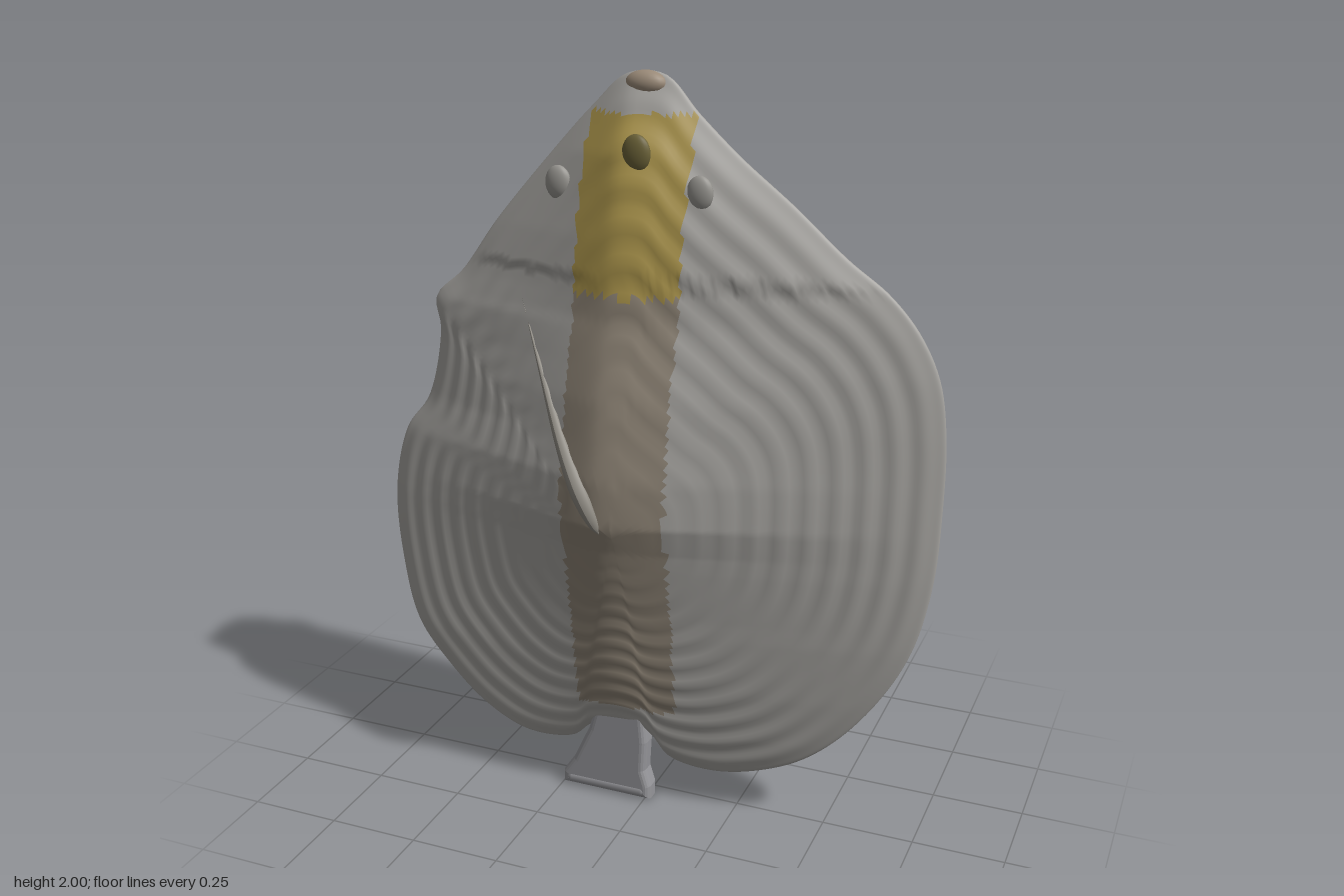
import * as THREE from 'three';

// Outline halves, top to bottom, as [x, y]
const LEFT = [[-0.09, 1.99], [-0.18, 1.91], [-0.29, 1.79], [-0.45, 1.6], [-0.55, 1.46], [-0.63, 1.38], [-0.62, 1.29],
  [-0.66, 1.1], [-0.73, 1.0], [-0.77, 0.82], [-0.755, 0.6], [-0.71, 0.42], [-0.62, 0.3], [-0.5, 0.19], [-0.37, 0.13]];
const RIGHT = [[0.01, 1.99], [0.1, 1.9], [0.21, 1.8], [0.35, 1.69], [0.49, 1.57], [0.6, 1.49], [0.68, 1.4],
  [0.735, 1.29], [0.76, 1.15], [0.765, 0.95], [0.755, 0.75], [0.71, 0.55], [0.62, 0.38], [0.5, 0.24], [0.38, 0.16]];
const NOTCH = [[-0.23, 0.14], [-0.17, 0.19], [-0.07, 0.21], [0.01, 0.19], [0.06, 0.13], [0.2, 0.11]];

// Ridge depth at the midline, as [z, y]
const FRONT = [[-0.01, 2], [0.03, 1.9], [0.07, 1.8], [0.105, 1.6], [0.13, 1.4], [0.19, 1.2], [0.23, 1],
  [0.235, 0.88], [0.21, 0.8], [0.17, 0.6], [0.14, 0.4], [0.1, 0.2], [0.08, 0.1]];
const BACK = [[-0.07, 2], [-0.1, 1.9], [-0.125, 1.8], [-0.15, 1.6], [-0.17, 1.4], [-0.2, 1.2], [-0.205, 1],
  [-0.2, 0.85], [-0.14, 0.6], [-0.07, 0.4], [-0.02, 0.2], [0, 0.1]];

const CX = -0.03, CY = 0.85, RIDGE_X = -0.07, RIM = 0.03;

// Look up a value at height y in a table sorted from top to bottom
function at(table, y) {
  if (y >= table[0][1]) return table[0][0];
  for (let i = 1; i < table.length; i++) {
    const [v0, y0] = table[i - 1], [v1, y1] = table[i];
    if (y >= y1) return v0 + (v1 - v0) * (y0 - y) / (y0 - y1);
  }
  return table[table.length - 1][0];
}

// Depth of the skin; s runs from 0 at the centre to 1 on the rim
function skinZ(x, y, s, side) {
  const mid = 0.04 - 0.045 * y - 0.04 * x;
  const edge = at(x < RIDGE_X ? LEFT : RIGHT, y);
  const u0 = Math.min(1, Math.abs((x - RIDGE_X) / (edge - RIDGE_X)));
  const u = (Math.sqrt(u0 * u0 + 0.005) - 0.07) / 0.933;
  const ridge = Math.abs(at(side > 0 ? FRONT : BACK, y) - (0.04 - 0.045 * y + 0.003));
  const p = y > 1.5 ? 0.9 : side > 0 || x < RIDGE_X ? 1.2 : 1;
  const swell = RIM + Math.max(0, ridge - RIM) * Math.pow(Math.max(0, 1 - u), p);
  const ripple = 0.003 * Math.sin(s * 75) * Math.min(1, s * 2);
  return mid + side * (swell + ripple) * Math.sqrt(Math.max(0, 1 - Math.pow(s, 10)));
}

// Closed skin: rings shrink from the rim to the centre on both sides, sorted into colour areas
function buildBody(group) {
  const pts = [...LEFT, ...NOTCH, ...[...RIGHT].reverse()].map(([x, y]) => new THREE.Vector3(x, y, 0));
  const outline = new THREE.CatmullRomCurve3(pts, true).getSpacedPoints(260).slice(0, 260);
  const N = outline.length, M = 60, pos = [];
  for (let j = 0; j <= 2 * M; j++) {
    const s = j === M ? 1 : Math.sin(Math.PI * j / (2 * M));
    for (const o of outline) {
      const x = CX + s * (o.x - CX), y = CY + s * (o.y - CY);
      pos.push(x, y, skinZ(x, y, s, j <= M ? 1 : -1));
    }
  }
  const areas = { finDisc: [], spineBand: [], headPatch: [] };
  for (let j = 0; j < 2 * M; j++) {
    for (let i = 0; i < N; i++) {
      const a = j * N + i, b = a + N, d = j * N + (i + 1) % N, c = d + N;
      const x = (pos[3 * a] + pos[3 * c]) / 2, y = (pos[3 * a + 1] + pos[3 * c + 1]) / 2;
      const inBand = x > -0.18 && x < 0.1;
      const area = inBand && y > 1.46 && y < 1.9 ? 'headPatch'
        : inBand && y > 0.3 && y <= 1.46 ? 'spineBand' : 'finDisc';
      areas[area].push(a, b, c, a, c, d);
    }
  }
  const whole = new THREE.BufferGeometry();
  whole.setAttribute('position', new THREE.Float32BufferAttribute(pos, 3));
  whole.setIndex(Object.values(areas).flat());
  whole.computeVertexNormals();
  const colors = { finDisc: 0xa3a19d, spineBand: 0x8c8274, headPatch: 0xa8924a };
  for (const name in areas) {
    const geo = new THREE.BufferGeometry();
    geo.setAttribute('position', whole.getAttribute('position'));
    geo.setAttribute('normal', whole.getAttribute('normal'));
    geo.setIndex(areas[name]);
    addMesh(group, name, geo, colors[name]);
  }
}

function addMesh(group, name, geo, color) {
  const mesh = new THREE.Mesh(geo, new THREE.MeshStandardMaterial({ color }));
  mesh.name = name;
  group.add(mesh);
  return mesh;
}

// Folded side fin: a tube lying on the skin that thickens towards its tip
function addSideFin(group, name, side) {
  const path = (side > 0 ? [[-0.34, 1.42], [-0.26, 1.24], [-0.17, 1.06], [-0.1, 0.94], [-0.06, 0.86]]
    : [[-0.26, 1.12], [-0.2, 1.04], [-0.14, 0.97], [-0.1, 0.92], [-0.09, 0.85]])
    .map(([x, y]) => new THREE.Vector3(x, y, skinZ(x, y, 0.5, side)));
  const curve = new THREE.CatmullRomCurve3(path), rows = 28, sides = 12;
  const geo = new THREE.TubeGeometry(curve, rows, 1, sides);
  const p = geo.getAttribute('position'), v = new THREE.Vector3();
  for (let i = 0; i <= rows; i++) {
    const t = i / rows, c = curve.getPointAt(t);
    const r = (side > 0 ? 0.033 : 0.06) * Math.pow(t, 1.3) * Math.sqrt(Math.min(1, (1 - t) * 5));
    for (let k = 0; k <= sides; k++) {
      const n = i * (sides + 1) + k;
      v.fromBufferAttribute(p, n).sub(c).multiplyScalar(r).add(c);
      p.setXYZ(n, v.x, v.y, v.z);
    }
  }
  geo.computeVertexNormals();
  addMesh(group, name, geo, 0x8c8880);
}

// Small flattened lump sitting on the skin
function addLump(group, name, x, y, side, r, color) {
  const mesh = addMesh(group, name, new THREE.SphereGeometry(1, 20, 14), color);
  mesh.position.set(x, y, skinZ(x, y, 0.8, side) - side * 0.004);
  mesh.scale.set(r, r * 1.25, 0.018);
}

export function createModel() {
  const group = new THREE.Group();
  group.name = 'flatFish';
  buildBody(group);

  addSideFin(group, 'frontSideFin', 1);
  addSideFin(group, 'backSideFin', -1);

  // Eyes and breathing holes
  for (const side of [1, -1]) {
    addLump(group, 'eye', -0.03, 1.81, side, 0.038, 0x6b6238);
    for (const x of [-0.25, 0.13]) addLump(group, 'gillLump', x, 1.72, side, 0.035, 0x96948f);
  }

  // Mouth
  const mouth = addMesh(group, 'mouth', new THREE.SphereGeometry(1, 20, 14), 0x9a8a78);
  mouth.position.set(-0.04, 1.968, -0.043);
  mouth.scale.set(0.055, 0.032, 0.03);

  // Tail flaring to a flat foot
  const tail = new THREE.Shape([[-0.12, 0.3], [-0.15, 0.19], [-0.2, 0.08], [-0.23, 0.035], [-0.23, 0.02],
    [0, 0.02], [0, 0.04], [-0.015, 0.09], [-0.01, 0.18], [-0.02, 0.3]].map(([x, y]) => new THREE.Vector2(x, y)));
  const tailGeo = new THREE.ExtrudeGeometry(tail, { depth: 0.024, bevelSize: 0.018, bevelThickness: 0.02, bevelSegments: 4 });
  addMesh(group, 'tail', tailGeo, 0x96969a).position.z = 0.043;
  const foot = addMesh(group, 'tailFoot', new THREE.CapsuleGeometry(0.025, 0.21, 6, 16), 0x96969a);
  foot.rotation.z = Math.PI / 2;
  foot.scale.z = 1.4;
  foot.position.set(-0.115, 0.025, 0.055);
  return group;
}
